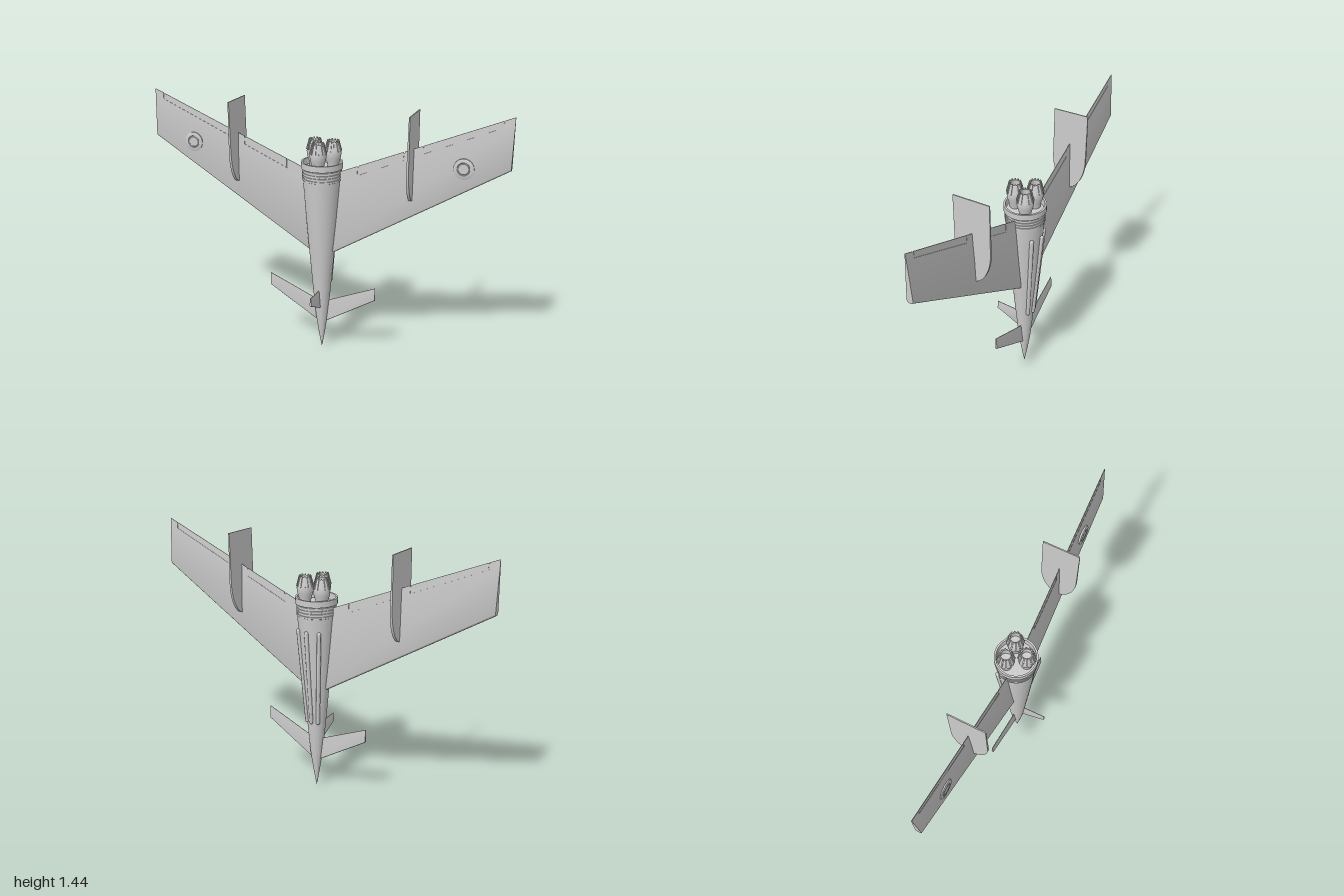
import * as THREE from 'three';
import { toCreasedNormals } from 'three/addons/utils/BufferGeometryUtils.js';

const material = new THREE.MeshStandardMaterial({ color: 0xcccccc });
const AXIS_Z = -0.03; // fuselage axis

function add(parent, name, geometry, crease = 0.6) {
  const mesh = new THREE.Mesh(toCreasedNormals(geometry, crease), material);
  mesh.name = name;
  parent.add(mesh);
  return mesh;
}

const lathe = (points, segments) =>
  new THREE.LatheGeometry(points.map(([r, y]) => new THREE.Vector2(r, y)), segments);

// Swept panel between spans x0 and x1, covering chord fractions f0..f1 of the plan.
// The section has a round nose and tapers straight to a thin trailing edge.
function panel(plan, x0, x1, f0 = 0, f1 = 1, thin = 1) {
  const { le, te, half, edge = 0.0015 } = plan;
  const section = (x) => {
    const ax = Math.abs(x);
    const front = le[0] + le[1] * ax;
    const chord = te[0] + te[1] * ax - front;
    const height = (d) => (d < half
      ? half * Math.sqrt(1 - (1 - d / half) ** 2)
      : half + (edge - half) * (d - half) / (chord - half));
    const stops = f0 === 0 ? [0, 0.06, 0.2, 0.45, 0.7, 1].map((k) => k * half) : [f0 * chord];
    stops.push(f1 * chord);
    const up = stops.map((d) => [x, front + d, height(d) * thin]);
    const down = up.filter((p) => p[2] > 0).reverse().map(([px, y, z]) => [px, y, -z]);
    return [...up, ...down];
  };
  const a = section(x0), b = section(x1), n = a.length, pos = [];
  const tri = (...points) => points.forEach((p) => pos.push(...p));
  for (let i = 0; i < n; i++) {
    const j = (i + 1) % n;
    tri(a[i], b[i], b[j]);
    tri(a[i], b[j], a[j]);
    if (i > 0 && i < n - 1) {
      tri(a[0], a[i], a[j]);
      tri(b[0], b[j], b[i]);
    }
  }
  const geometry = new THREE.BufferGeometry();
  geometry.setAttribute('position', new THREE.Float32BufferAttribute(pos, 3));
  geometry.computeVertexNormals();
  return geometry;
}

const wingPlan = { le: [0.56, 0.612], te: [1.03, 0.411], half: 0.017 };
const canardPlan = { le: [0.155, 0.605], te: [0.288, 0.42], half: 0.006 };
const noseFinPlan = { le: [0.26, 0.51], te: [0.373, 0.08], half: 0.006 };

function createWing(side) {
  const wing = new THREE.Group();
  wing.name = side > 0 ? 'leftWing' : 'rightWing';
  wing.position.z = AXIS_Z;
  const span = (name, x0, x1, ...rest) =>
    add(wing, name, side > 0 ? panel(wingPlan, x0, x1, ...rest) : panel(wingPlan, -x1, -x0, ...rest));
  const hinge = 0.88, gap = 0.005;
  span('wingPanel', 0, 1, 0, hinge);
  for (const [x0, x1] of [[0, 0.2], [0.455, 0.55], [0.95, 1]]) span('trailingEdge', x0, x1, hinge, 1);
  for (const [x0, x1] of [[0.2, 0.455], [0.55, 0.95]]) {
    span('hingeWeb', x0, x1, 0.86, 0.98, 0.5);
    span('flap', x0 + gap, x1 - gap, hinge + 0.014, 1);
  }

  // Upright plate with a rounded lower end, thinner toward the top
  const shape = new THREE.Shape();
  shape.moveTo(-0.1, 1.42);
  shape.lineTo(-0.1, 1.14);
  shape.bezierCurveTo(-0.098, 1.04, -0.05, 0.957, 0, 0.957);
  shape.bezierCurveTo(0.05, 0.957, 0.098, 1.04, 0.1, 1.14);
  shape.lineTo(0.1, 1.42);
  shape.closePath();
  const plate = new THREE.ExtrudeGeometry(shape, { depth: 1, bevelEnabled: false, curveSegments: 16 });
  const p = plate.attributes.position;
  for (let i = 0; i < p.count; i++) {
    const thickness = 0.016 - 0.01 * (p.getY(i) - 0.957) / 0.463;
    p.setZ(i, (p.getZ(i) - 0.5) * thickness);
  }
  plate.rotateY(-Math.PI / 2);
  plate.computeVertexNormals();
  add(wing, 'verticalFin', plate).position.x = side * 0.498;

  // Shallow round boss with a raised ring
  const boss = lathe([[0.053, -0.012], [0.053, 0.006], [0.048, 0.009], [0.034, 0.009],
    [0.032, 0.007], [0.029, 0.007], [0.027, 0.009], [0, 0.009]], 32);
  boss.rotateX(Math.PI / 2);
  add(wing, 'wingBoss', boss).position.set(side * 0.765, 1.16, 0.01);
  return wing;
}

function createEngine() {
  const engine = new THREE.Group();
  engine.name = 'engine';
  add(engine, 'nozzle', lathe([[0.028, 1.08], [0.034, 1.115], [0.042, 1.14], [0.045, 1.165],
    [0.042, 1.185], [0.03, 1.228], [0.025, 1.228], [0.028, 1.18], [0, 1.175]], 24));
  // Ribs along the tapering outlet
  for (let i = 0; i < 12; i++) {
    const rib = new THREE.BoxGeometry(0.007, 0.06, 0.006);
    rib.rotateX(-0.26);
    rib.translate(0, 1.205, 0.0375);
    rib.rotateY(i * Math.PI / 6);
    add(engine, 'nozzleRib', rib);
  }
  return engine;
}

export function createModel() {
  const model = new THREE.Group();
  model.name = 'aircraft';

  const body = new THREE.Group();
  body.name = 'body';
  body.position.z = AXIS_Z;
  model.add(body);

  // Fuselage with banded tail and open rear rim
  const profile = [[0, 0], [0.006, 0.03], [0.018, 0.1], [0.033, 0.2], [0.043, 0.3], [0.052, 0.4],
    [0.07, 0.6], [0.087, 0.8], [0.102, 1.0], [0.103, 1.02]];
  for (let i = 0; i < 4; i++) {
    const y = 1.022 + i * 0.016;
    profile.push([0.107, y], [0.107, y + 0.01], [0.104, y + 0.011], [0.104, y + 0.015]);
  }
  profile.push([0.113, 1.086], [0.113, 1.12], [0.103, 1.12], [0.1, 1.085], [0, 1.085]);
  add(body, 'fuselage', lathe(profile, 48));

  // Three rounded rails along the back
  for (const angle of [-0.7, 0, 0.7]) {
    const rail = new THREE.CapsuleGeometry(0.0115, 0.53, 6, 12);
    rail.rotateX(-0.089);
    rail.translate(0, 0.675, -0.078);
    rail.rotateY(angle);
    add(body, 'backRail', rail);
  }

  // Engine cluster
  for (let i = 0; i < 3; i++) {
    const angle = i * Math.PI * 2 / 3;
    const engine = createEngine();
    engine.position.set(Math.sin(angle) * 0.06, 0, Math.cos(angle) * 0.06);
    body.add(engine);
  }

  // Wings and nose surfaces
  for (const side of [1, -1]) {
    model.add(createWing(side));
    add(body, 'canard', side > 0 ? panel(canardPlan, 0, 0.315) : panel(canardPlan, -0.315, 0));
  }
  const noseFin = panel(noseFinPlan, 0, 0.148);
  noseFin.rotateY(-Math.PI / 2);
  add(model, 'noseFin', noseFin);

  return model;
}
